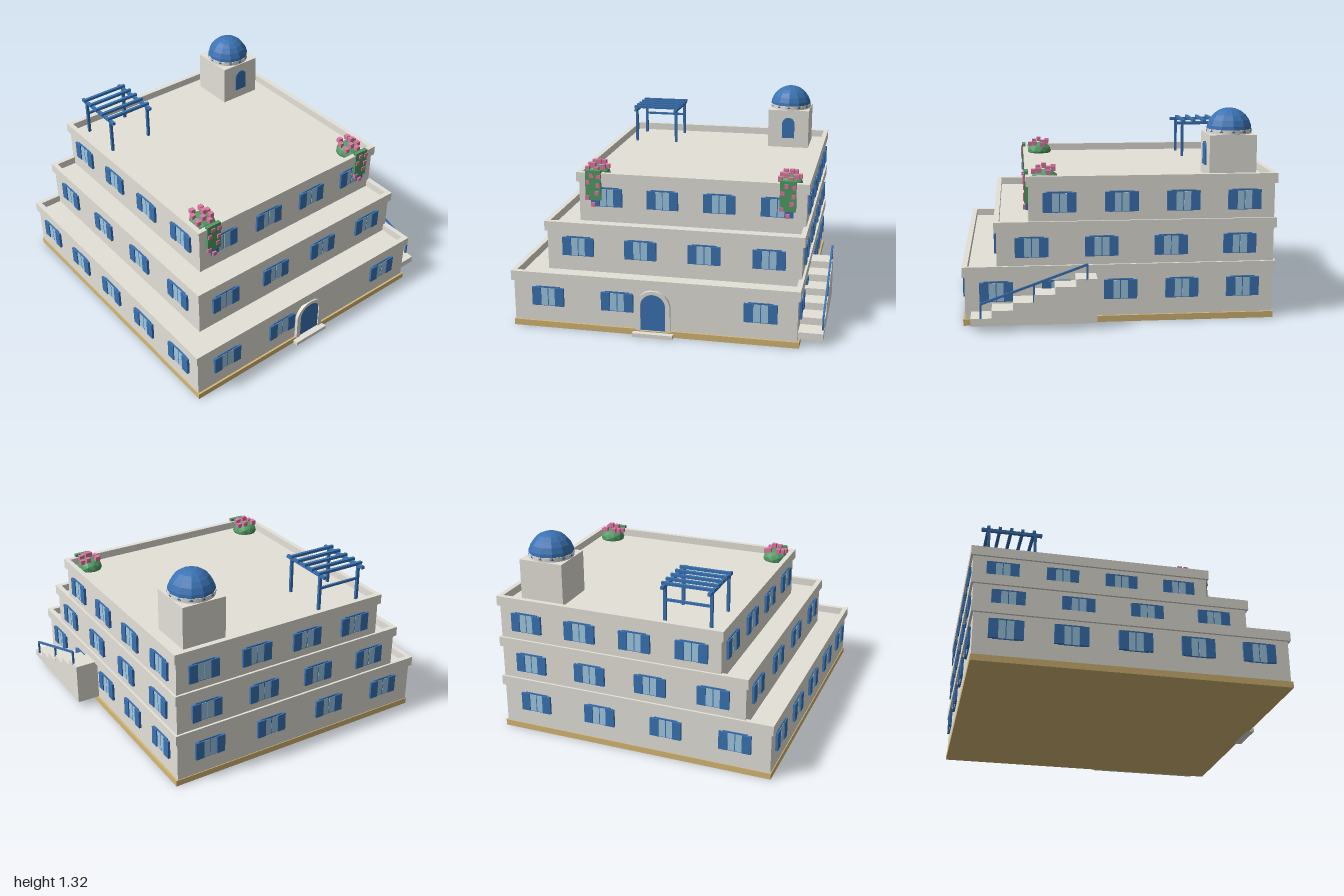
import * as THREE from 'three';

const mat = (name, color) => {
  const m = new THREE.MeshStandardMaterial({ color });
  m.name = name;
  return m;
};

export function createModel() {
  const model = new THREE.Group();
  model.name = 'terracedHouse';
  const wall = mat('whitewash', 0xe4e1d9);
  const blue = mat('bluePaint', 0x3a73b4);
  const glass = mat('windowGlass', 0xa0c8e2);
  const sand = mat('sandStone', 0xd6b876);
  const green = mat('leafGreen', 0x529c65);
  const pink = mat('blossomPink', 0xdc78a2);
  const domeBlue = blue.clone();
  domeBlue.name = 'domeBlue';
  domeBlue.flatShading = true;
  const leaf = green.clone();
  leaf.name = 'bushGreen';
  leaf.flatShading = true;

  const add = (parent, name, geo, material) => {
    const m = new THREE.Mesh(geo, material);
    m.name = name;
    parent.add(m);
    return m;
  };
  // Box given by its minimum and maximum on each axis
  const box = (parent, name, material, x0, x1, y0, y1, z0, z1) => {
    const m = add(parent, name, new THREE.BoxGeometry(x1 - x0, y1 - y0, z1 - z0), material);
    m.position.set((x0 + x1) / 2, (y0 + y1) / 2, (z0 + z1) / 2);
    return m;
  };
  const group = (name, parent = model) => {
    const g = new THREE.Group();
    g.name = name;
    parent.add(g);
    return g;
  };
  // Round-topped outline standing on y = 0
  const arch = (Type, halfW, height) => {
    const p = new Type();
    p.moveTo(-halfW, 0);
    p.lineTo(halfW, 0);
    p.lineTo(halfW, height - halfW);
    p.absarc(0, height - halfW, halfW, 0, Math.PI, false);
    p.lineTo(-halfW, 0);
    return p;
  };
  const extrude = (shape, depth) =>
    new THREE.ExtrudeGeometry(shape, { depth, bevelEnabled: false, curveSegments: 10 });

  // Window facing +z with open shutters
  const addWindow = (parent, x, y, z, angle) => {
    const w = group('window', parent);
    box(w, 'frame', blue, -0.078, 0.078, -0.064, 0.067, -0.002, 0.007);
    for (const s of [-1, 1]) {
      const pane = box(w, 'pane', glass, -0.0215, 0.0215, -0.06, 0.057, 0.004, 0.009);
      pane.position.x = s * 0.0245;
      const shutter = box(w, 'shutter', blue, -0.029, 0.029, -0.061, 0.061, 0, 0.016);
      shutter.position.x = s * 0.075;
    }
    w.position.set(x, y, z);
    w.rotation.y = angle;
  };

  // Plinth
  box(model, 'plinth', sand, -0.99, 0.848, 0, 0.04, -0.99, 0.965);

  // Three storeys, each with a parapet ring and windows all round
  const R = 0.85, B = -1, inset = 0.015, t = 0.033;
  const storeys = [
    { left: -1, front: 0.967, y0: 0.04, band: 0.308, top: 0.372, winY: 0.21, sideCount: 5, skip: 2 },
    { left: -0.835, front: 0.768, y0: 0.3, band: 0.585, top: 0.65, winY: 0.488, sideCount: 4, skip: -1 },
    { left: -0.675, front: 0.568, y0: 0.58, band: 0.868, top: 0.932, winY: 0.768, sideCount: 4, skip: -1 },
  ];
  storeys.forEach((s, n) => {
    const g = group('storey' + (n + 1));
    const x0 = s.left + inset, x1 = R - inset, z0 = B + inset, z1 = s.front - inset;
    box(g, 'walls', wall, x0, x1, s.y0, s.band + 0.014, z0, z1);

    const ring = new THREE.Shape();
    ring.moveTo(s.left, -s.front).lineTo(R, -s.front).lineTo(R, -B).lineTo(s.left, -B).closePath();
    const hole = new THREE.Path();
    hole.moveTo(s.left + t, -s.front + t).lineTo(s.left + t, -B - t)
      .lineTo(R - t, -B - t).lineTo(R - t, -s.front + t).closePath();
    ring.holes.push(hole);
    const parapet = add(g, 'parapet', extrude(ring, s.top - s.band), wall);
    parapet.rotation.x = -Math.PI / 2;
    parapet.position.y = s.band;

    for (let i = 0; i < 4; i++) {
      const x = x0 + (x1 - x0) * (i + 0.5) / 4;
      if (i !== s.skip) addWindow(g, x, s.winY, z1, 0);
      addWindow(g, x, s.winY, z0, Math.PI);
    }
    for (let i = 0; i < s.sideCount; i++) {
      const z = z1 + (z0 - z1) * (i + 0.5) / s.sideCount;
      addWindow(g, x1, s.winY, z, Math.PI / 2);
      addWindow(g, x0, s.winY, z, -Math.PI / 2);
    }
  });

  // Front entrance with arched surround and doorstep
  const entrance = group('entrance');
  entrance.position.set(-0.07, 0, 0);
  const surroundShape = arch(THREE.Shape, 0.11, 0.268);
  surroundShape.holes.push(arch(THREE.Path, 0.08, 0.245));
  add(entrance, 'doorSurround', extrude(surroundShape, 0.025), wall).position.set(0, 0.036, 0.948);
  add(entrance, 'frontDoor', extrude(arch(THREE.Shape, 0.08, 0.245), 0.018), blue).position.set(0, 0.038, 0.948);
  box(entrance, 'doorstep', wall, -0.13, 0.13, 0, 0.025, 0.95, 1);

  // Outside stair on the left-hand wall, one stepped block
  const stair = group('outsideStair');
  const run = 0.1292, rise = 0.0467, stairFront = 0.915, stairBack = 0.14;
  const profile = new THREE.Shape();
  profile.moveTo(-stairFront, 0.04);
  profile.lineTo(-stairBack, 0.04);
  profile.lineTo(-stairBack, 0.04 + 6 * rise);
  for (let i = 5; i >= 0; i--) {
    profile.lineTo(-stairFront + i * run, 0.04 + (i + 1) * rise);
    if (i > 0) profile.lineTo(-stairFront + i * run, 0.04 + i * rise);
  }
  profile.closePath();
  const steps = add(stair, 'steps', extrude(profile, 0.157), wall);
  steps.rotation.y = Math.PI / 2;
  steps.position.x = 0.833;

  // Handrail
  const railX = 0.984;
  for (const [z, y0, y1] of [[0.852, 0.08, 0.178], [0.527, 0.18, 0.294], [0.202, 0.31, 0.41]])
    box(stair, 'railPost', blue, railX - 0.006, railX + 0.006, y0, y1, z - 0.006, z + 0.006);
  const rail = add(stair, 'handrail', new THREE.BoxGeometry(0.012, 0.014, Math.hypot(0.655, 0.234)), blue);
  rail.position.set(railX, 0.293, 0.527);
  rail.rotation.x = Math.atan2(0.234, 0.655);

  // Domed stair tower
  const tower = group('domedTower');
  tower.position.set(0.583, 0, -0.738);
  box(tower, 'towerWalls', wall, -0.148, 0.148, 0.87, 1.157, -0.15, 0.15);
  add(tower, 'drum', new THREE.CylinderGeometry(0.146, 0.146, 0.04, 24), wall).position.y = 1.165;
  add(tower, 'dome', new THREE.SphereGeometry(0.148, 12, 6, 0, Math.PI * 2, 0, Math.PI / 2), domeBlue)
    .position.y = 1.168;
  add(tower, 'towerDoor', extrude(arch(THREE.Shape, 0.045, 0.15), 0.012), blue).position.set(0, 0.953, 0.148);

  // Roof pergola
  const pergola = group('pergola');
  for (const x of [-0.56, -0.26]) {
    for (const z of [-0.885, -0.58])
      box(pergola, 'post', blue, x - 0.009, x + 0.009, 0.875, 1.12, z - 0.009, z + 0.009);
    box(pergola, 'beam', blue, x - 0.01, x + 0.01, 1.113, 1.133, -0.935, -0.535);
  }
  for (let i = 0; i < 5; i++) {
    const z = -0.89 + i * 0.075;
    box(pergola, 'slat', blue, -0.58, -0.24, 1.13, 1.148, z - 0.01, z + 0.01);
  }
  box(pergola, 'tieBar', blue, -0.56, -0.26, 1.025, 1.04, -0.892, -0.878);

  // Flowering bushes on the roof corners, trailing over the parapet
  const blossoms = [[-0.055, 0.952, -0.02], [-0.02, 0.965, 0.04], [0.045, 0.955, 0.035], [0.06, 0.945, -0.02],
    [0.01, 0.982, 0.005], [-0.035, 0.965, -0.055], [0.03, 0.965, -0.05], [-0.06, 0.94, 0.04], [0.01, 0.945, 0.07]];
  const trailing = [[-0.035, 0.87], [0.035, 0.85], [0.025, 0.8], [-0.04, 0.765], [0.0, 0.72], [-0.01, 0.915], [0.04, 0.91]];
  for (const x of [-0.56, 0.715]) {
    const bush = group('floweringBush');
    bush.position.x = x;
    const mound = add(bush, 'foliage', new THREE.IcosahedronGeometry(0.086, 1), leaf);
    mound.position.set(0, 0.895, 0.447);
    mound.scale.y = 0.75;
    box(bush, 'trailingFoliage', green, -0.052, 0.052, 0.75, 0.95, 0.55, 0.576);
    for (const [bx, by, bz] of blossoms)
      add(bush, 'blossom', new THREE.BoxGeometry(0.03, 0.03, 0.03), pink).position.set(bx, by, 0.447 + bz);
    for (const [bx, by] of trailing)
      add(bush, 'trailingBlossom', new THREE.BoxGeometry(0.027, 0.027, 0.02), pink).position.set(bx, by, 0.573);
  }
  return model;
}
